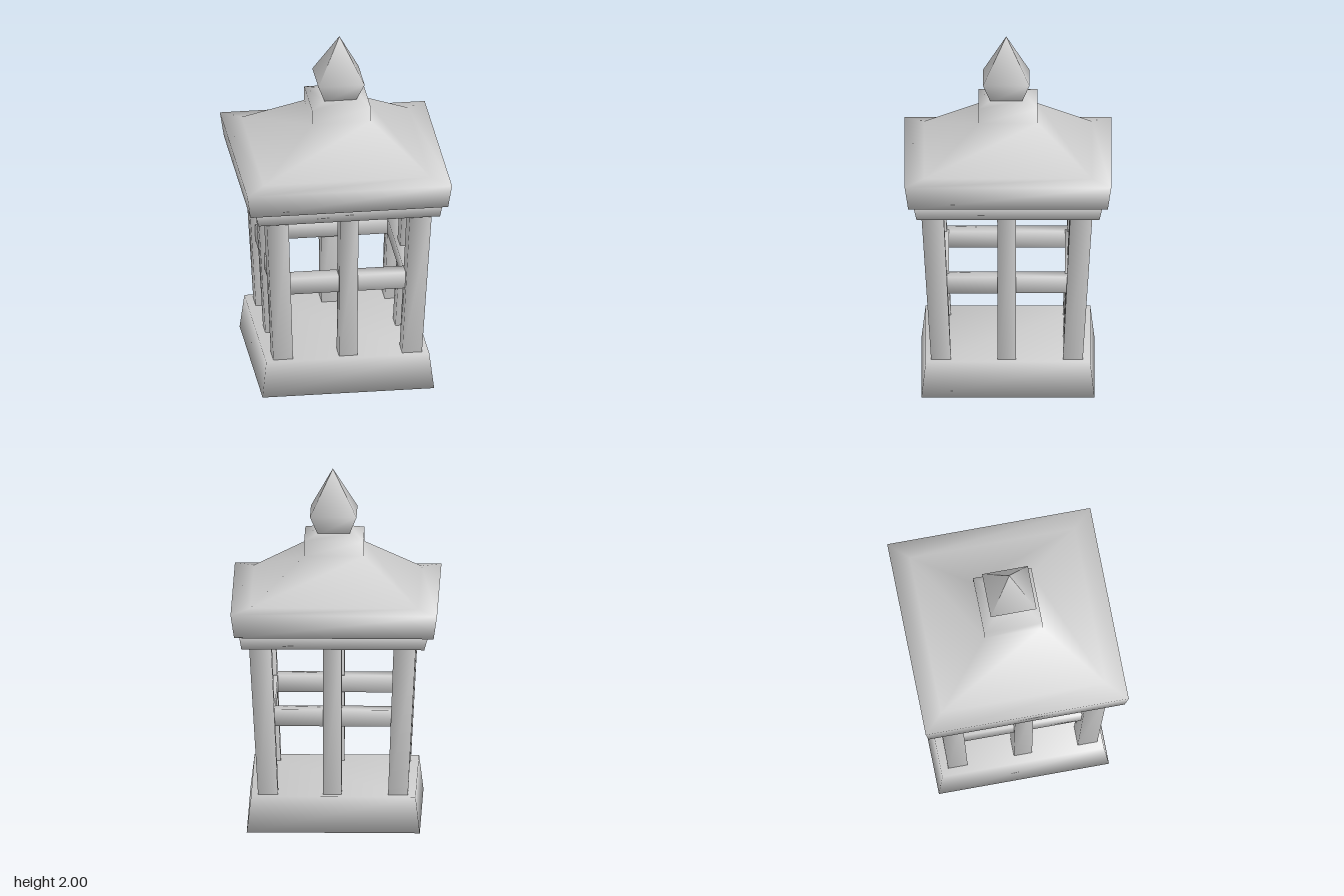
import * as THREE from 'three';

const stone = new THREE.MeshStandardMaterial({ color: 0xcccccc });
stone.name = 'pale stone';

// Square loft with soft shared normals; rings are [y, halfWidth, centreX, centreZ] from bottom to top
function loft(rings) {
  const pos = [], idx = [];
  for (const [y, h, cx = 0, cz = 0] of rings) {
    for (const [sx, sz] of [[1, 1], [1, -1], [-1, -1], [-1, 1]]) pos.push(cx + sx * h, y, cz + sz * h);
  }
  for (let i = 0; i < rings.length - 1; i++) {
    for (let k = 0; k < 4; k++) {
      const a = i * 4 + k, b = i * 4 + (k + 1) % 4;
      idx.push(a, b, b + 4, a, b + 4, a + 4);
    }
  }
  const t = (rings.length - 1) * 4;
  idx.push(0, 2, 1, 0, 3, 2, t, t + 1, t + 2, t, t + 2, t + 3);
  const g = new THREE.BufferGeometry();
  g.setAttribute('position', new THREE.Float32BufferAttribute(pos, 3));
  g.setIndex(idx);
  g.computeVertexNormals();
  return g;
}

export function createModel() {
  const model = new THREE.Group();
  model.name = 'stoneLantern';
  const add = (name, geometry) => {
    const mesh = new THREE.Mesh(geometry, stone);
    mesh.name = name;
    model.add(mesh);
    return mesh;
  };

  // Tapered plinth
  add('base', loft([[0, 0.49, 0.005, 0], [0.205, 0.466, 0.005, 0]]));

  // Corner posts, leaning outwards
  for (const sx of [-1, 1]) {
    for (const sz of [-1, 1]) {
      add('cornerPost', loft([
        [0.18, 0.056, 0.008 + sx * 0.367, 0.006 + sz * 0.372],
        [1.1, 0.063, 0.01 + sx * 0.41, 0.006 + sz * 0.422],
      ]));
    }
  }

  // Middle post and horizontal rail on each side
  for (let i = 0; i < 4; i++) {
    const a = i * Math.PI / 2, nx = Math.sin(a), nz = Math.cos(a);
    add('middlePost', loft([
      [0.18, 0.052, 0.012 + nx * 0.37, 0.008 + nz * 0.37],
      [1.1, 0.053, 0.012 + nx * 0.42, 0.008 + nz * 0.42],
    ]));
    const rail = add('rail', loft([[-0.36, 0.048], [0.36, 0.048]]).rotateZ(Math.PI / 2));
    rail.position.set(0.008 + nx * 0.377, 0.653, 0.006 + nz * 0.377);
    rail.rotation.y = a;
  }

  // Stepped eaves, sloping roof and square cap
  add('eavesSoffit', loft([[1.08, 0.518, 0.007, 0], [1.165, 0.537, 0.002, 0]]));
  add('roof', loft([
    [1.157, 0.565], [1.295, 0.585], [1.31, 0.475], [1.535, 0.168, 0.009, 0],
    [1.62, 0.168, 0.009, 0], [1.645, 0.09, 0.012, 0.008],
  ]));

  // Pointed finial
  add('finial', loft([
    [1.635, 0.088, 0.012, 0.01], [1.75, 0.132, 0.013, 0.01], [2, 0.001, 0.018, 0.01],
  ]));

  return model;
}
